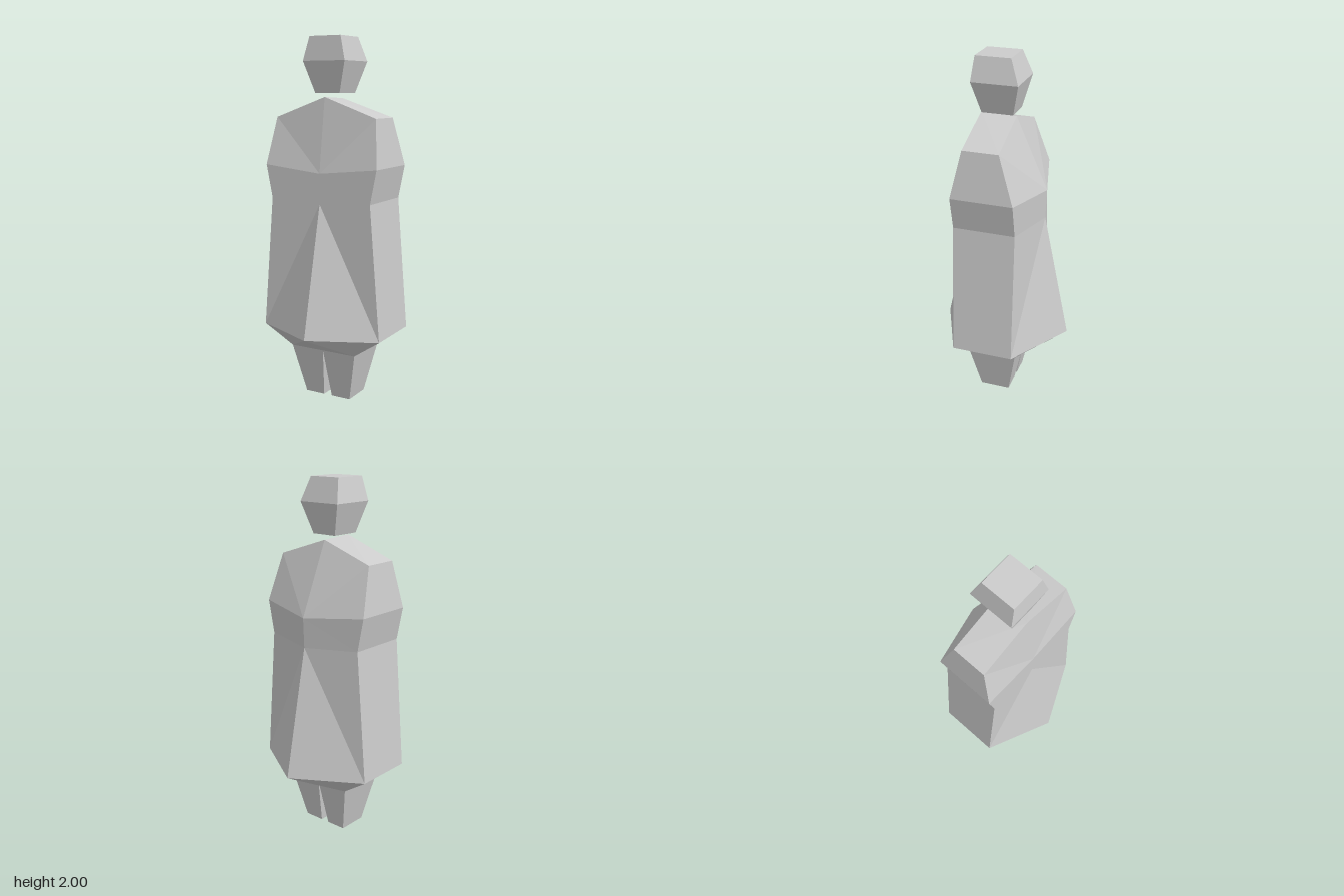
import * as THREE from 'three';

const material = new THREE.MeshStandardMaterial({ color: 0xcccccc, flatShading: true });

// Joins closed rings (bottom to top, counter-clockwise from above) and caps both ends.
// riseToCentre[b] tells whether band b folds from its upper or its lower centre point.
function loft(name, rings, riseToCentre = []) {
  const pos = [];
  const tri = (...pts) => pts.forEach((p) => pos.push(...p));
  const n = rings[0].length;
  for (let b = 0; b < rings.length - 1; b++) {
    for (let i = 0; i < n; i++) {
      const j = (i + 1) % n;
      const lo = rings[b], up = rings[b + 1];
      if ((i % 3 === 0) === !!riseToCentre[b]) {
        tri(lo[i], lo[j], up[i]);
        tri(lo[j], up[j], up[i]);
      } else {
        tri(lo[i], lo[j], up[j]);
        tri(lo[i], up[j], up[i]);
      }
    }
  }
  const bottom = rings[0], top = rings[rings.length - 1];
  for (let i = 1; i < n - 1; i++) {
    tri(bottom[0], bottom[i + 1], bottom[i]);
    tri(top[0], top[i], top[i + 1]);
  }
  const geo = new THREE.BufferGeometry();
  geo.setAttribute('position', new THREE.Float32BufferAttribute(pos, 3));
  geo.computeVertexNormals();
  const mesh = new THREE.Mesh(geo, material);
  mesh.name = name;
  return mesh;
}

// Four-cornered ring
const rect = (y, x0, x1, front, back) =>
  [[x0, y, front], [x1, y, front], [x1, y, back], [x0, y, back]];

// Six-cornered ring with a ridge point in the middle of front and back
const ridged = (y, w, front, back, yFront, zFront, yBack, zBack) => [
  [0, yFront, zFront], [w, y, front], [w, y, back],
  [0, yBack, zBack], [-w, y, back], [-w, y, front],
];

export function createModel() {
  const model = new THREE.Group();
  model.name = 'figure';

  // Head
  model.add(loft('head', [
    rect(1.7, -0.075, 0.075, 0.115, -0.057),
    rect(1.87, -0.128, 0.128, 0.155, -0.1),
    rect(2, -0.095, 0.095, 0.14, -0.053),
  ]));

  // Coat: underside, flared hem, waist, chest, shoulders
  model.add(loft('coat', [
    ridged(0.28, 0.2, 0.17, -0.112, 0.28, 0.17, 0.28, -0.112),
    ridged(0.392, 0.365, 0.2, -0.142, 0.392, 0.367, 0.392, -0.367),
    ridged(1.127, 0.305, 0.2, -0.142, 1.11, 0.2, 1.11, -0.22),
    ridged(1.31, 0.342, 0.2, -0.142, 1.275, 0.2, 1.275, -0.227),
    ridged(1.57, 0.306, 0.14, -0.058, 1.68, 0.143, 1.672, -0.053),
  ], [true, true, true, false]));

  // Legs
  for (const side of [-1, 1]) {
    const ring = (y, inner, outer, front, back) => side > 0
      ? rect(y, inner, outer, front, back)
      : rect(y, -outer, -inner, front, back);
    model.add(loft(side > 0 ? 'leftLeg' : 'rightLeg', [
      ring(0, 0.025, 0.14, 0.115, -0.055),
      ring(0.28, 0, 0.2, 0.17, -0.112),
    ]));
  }

  return model;
}
